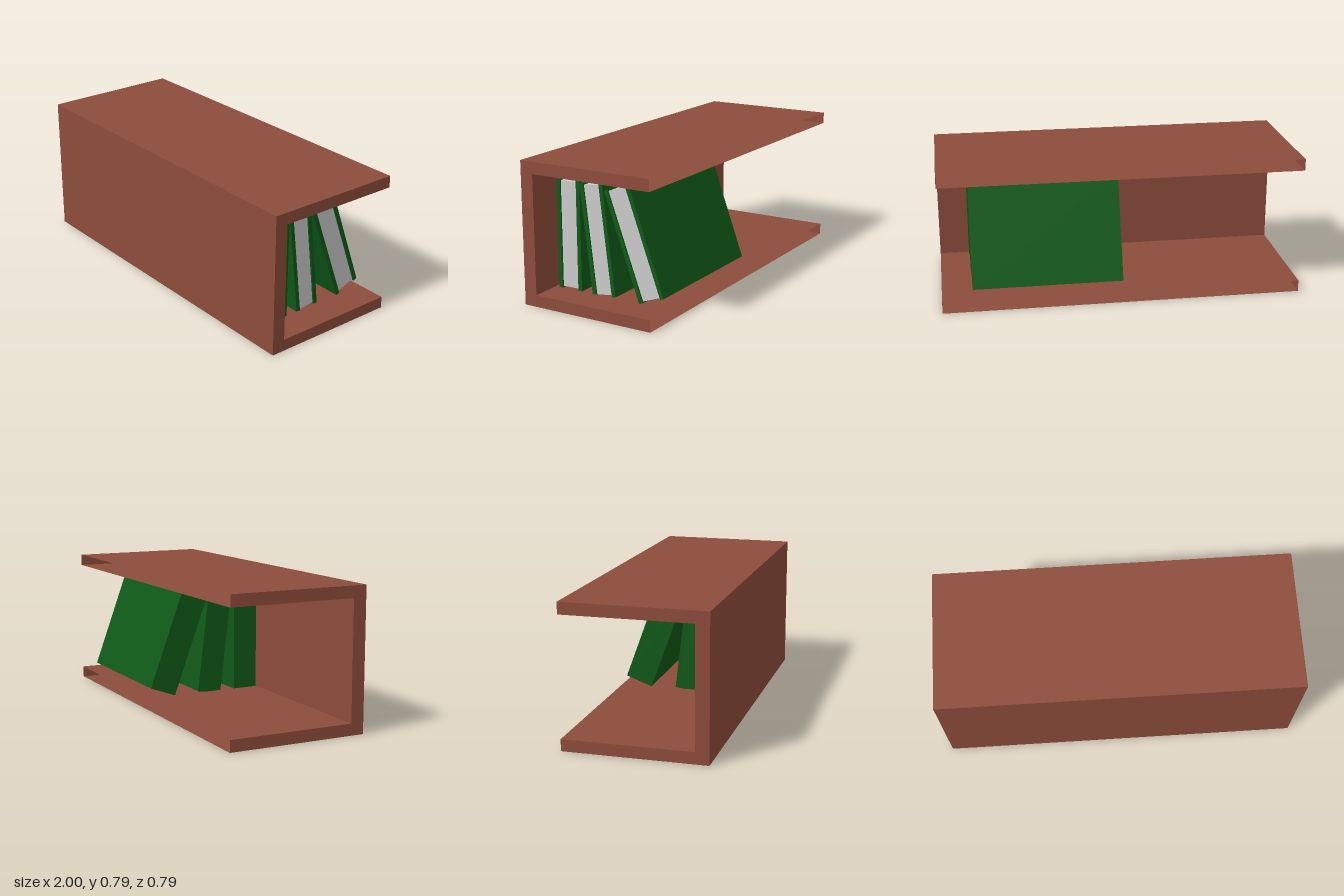
import * as THREE from 'three';

const wood = new THREE.MeshStandardMaterial({ color: 0x8d4c3b, side: THREE.DoubleSide, flatShading: true });
const cloth = new THREE.MeshStandardMaterial({ color: 0x0f5a18, flatShading: true });
const paper = new THREE.MeshStandardMaterial({ color: 0xcccccc, flatShading: true });

function box(name, material, size, position) {
  const mesh = new THREE.Mesh(new THREE.BoxGeometry(...size), material);
  mesh.name = name;
  mesh.position.set(...position);
  return mesh;
}

// Hollow C-shaped shelf: bottom, upright panel and top, open along the rear edges
function createShelf() {
  const shelf = new THREE.Group();
  shelf.name = 'shelf';
  const D = 0.3925, inner = 0.318;
  // Profile as [z, y]
  const profile = [
    [-D, 0.065], [inner, 0.065], [inner, 0.72], [-D, 0.72],
    [-D, 0.785], [D, 0.785], [D, 0], [-D, 0],
  ];
  const names = ['bottomInside', 'panelInside', 'topInside', null, 'topOutside', 'panelOutside', 'bottomOutside', null];
  profile.forEach(([z0, y0], i) => {
    if (!names[i]) return; // open rear edge
    const [z1, y1] = profile[(i + 1) % profile.length];
    const wall = new THREE.Mesh(new THREE.PlaneGeometry(2, Math.hypot(z1 - z0, y1 - y0)), wood);
    wall.name = names[i];
    wall.position.set(0, (y0 + y1) / 2, (z0 + z1) / 2);
    // Turn the plane so that it faces out of the board
    wall.rotation.x = Math.atan2(z1 - z0, y1 - y0) + Math.PI;
    shelf.add(wall);
  });
  // C-shaped end caps
  const outline = new THREE.Shape(profile.map(([z, y]) => new THREE.Vector2(-z, y)));
  for (const side of [1, -1]) {
    const cap = new THREE.Mesh(new THREE.ShapeGeometry(outline), wood);
    cap.name = side > 0 ? 'leftEnd' : 'rightEnd';
    cap.rotation.y = Math.PI / 2;
    cap.position.x = side;
    shelf.add(cap);
  }
  return shelf;
}

// Hardback: two boards, a spine at the -x end and a slightly smaller page block
function createBook(thickness, height) {
  const book = new THREE.Group();
  const length = 0.83, board = 0.0235;
  const pageDepth = thickness - 2 * board;
  for (const side of [1, -1]) {
    book.add(box(side > 0 ? 'frontCover' : 'backCover', cloth,
      [length, height, board], [0, 0, side * (thickness - board) / 2]));
  }
  book.add(box('spine', cloth, [board, height, pageDepth], [(board - length) / 2, 0, 0]));
  book.add(box('pages', paper, [length - board - 0.008, height - 0.016, pageDepth], [board / 2 - 0.004, 0, 0]));
  return book;
}

export function createModel() {
  const model = new THREE.Group();
  model.name = 'shelfWithBooks';
  model.add(createShelf());

  // One upright book and two that lean against it
  const books = [
    { name: 'uprightBook', thickness: 0.147, height: 0.6, y: 0.365, z: 0.2305, lean: 0, turn: 0.0217 },
    { name: 'middleBook', thickness: 0.145, height: 0.606, y: 0.364, z: 0.04, lean: 0.12, turn: 0 },
    { name: 'leaningBook', thickness: 0.16, height: 0.611, y: 0.378, z: -0.186, lean: 0.35, turn: 0 },
  ];
  for (const b of books) {
    const book = createBook(b.thickness, b.height);
    book.name = b.name;
    book.position.set(0.415, b.y, b.z);
    book.rotation.set(b.lean, b.turn, 0);
    model.add(book);
  }
  return model;
}
